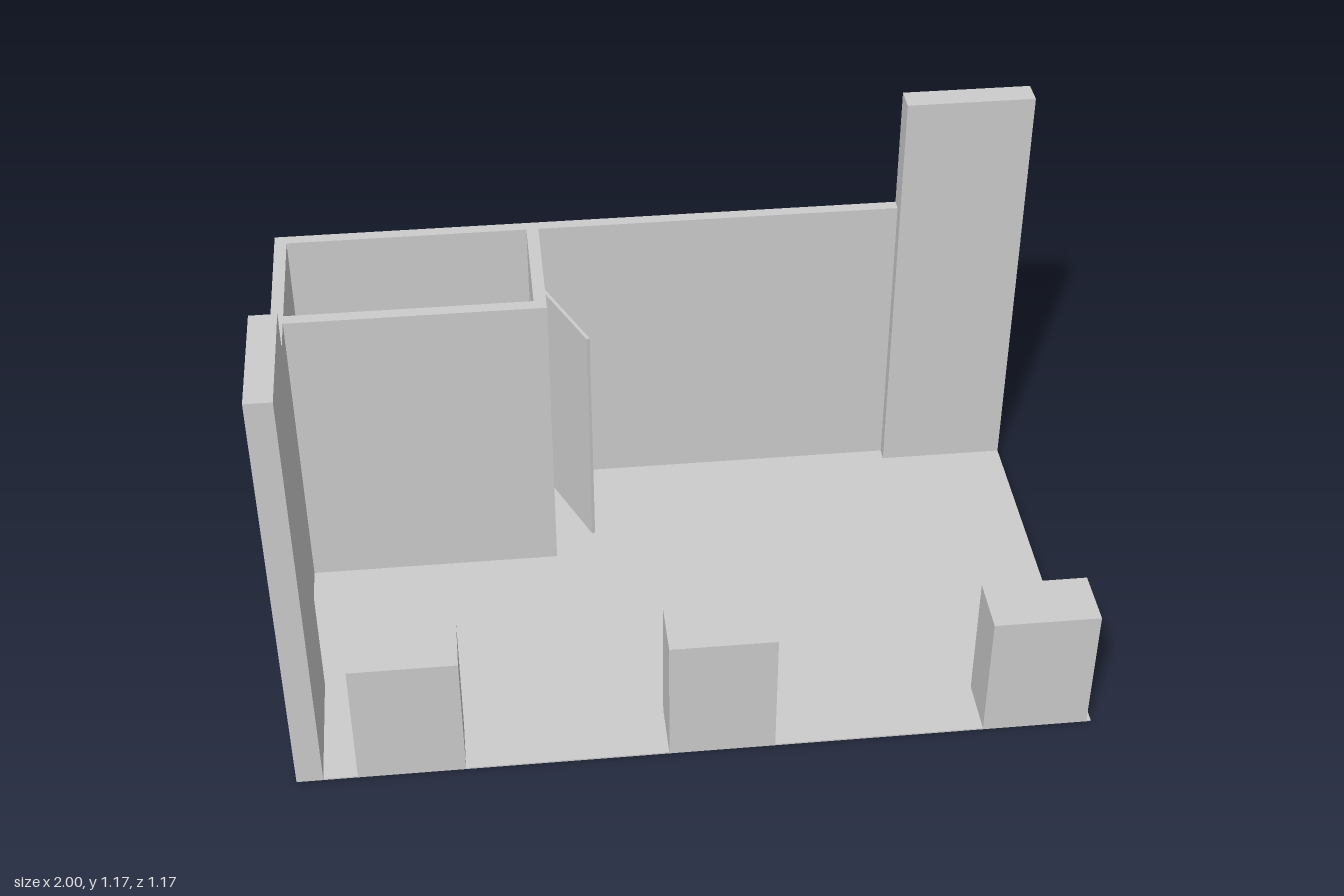
import * as THREE from 'three';

const material = new THREE.MeshStandardMaterial({ color: 0xcccccc, flatShading: true });

// Box given by its min and max corners
function block(parent, name, x0, x1, y0, y1, z0, z1) {
  const mesh = new THREE.Mesh(new THREE.BoxGeometry(x1 - x0, y1 - y0, z1 - z0), material);
  mesh.position.set((x0 + x1) / 2, (y0 + y1) / 2, (z0 + z1) / 2);
  mesh.name = name;
  parent.add(mesh);
  return mesh;
}

// Framed wall along local x: thin inner sheet, rails and studs facing -z outside
function framedWall(name, length, height, bays) {
  const wall = new THREE.Group();
  wall.name = name;
  const depth = 0.032, sheet = 0.01, t = 0.014;
  block(wall, 'wallSheet', 0, length, 0, height, depth - sheet, depth);
  block(wall, 'bottomRail', 0, length, 0, t, 0, depth - sheet);
  block(wall, 'topRail', 0, length, height - t, height, 0, depth - sheet);
  for (let i = 0; i <= bays; i++) {
    const x = (length - t) * i / bays;
    block(wall, 'stud', x, x + t, t, height - t, 0, depth - sheet);
  }
  return wall;
}

export function createModel() {
  const model = new THREE.Group();
  model.name = 'exhibitionBooth';
  const X = 1, Z = 0.585, H = 0.838, tall = 1.174, floorTop = 0.004;

  block(model, 'floor', -X, X, 0, floorTop, -Z, Z);

  // Outer walls with studs on their outer faces
  const backWall = framedWall('backWall', 1.662, H, 10);
  backWall.position.set(-X, 0, -Z);
  model.add(backWall);
  const sideWall = framedWall('sideWall', 0.837, H, 5);
  sideWall.rotation.y = Math.PI / 2;
  sideWall.position.set(-X, 0, 0.252);
  model.add(sideWall);

  // Tall end towers
  block(model, 'backTower', 0.662, X, 0, tall, -Z, -0.517);
  block(model, 'sideTower', -X, -0.934, 0, tall, 0.252, Z);

  // Storage room: front wall, and a side wall with a doorway
  const room = new THREE.Group();
  room.name = 'storageRoom';
  model.add(room);
  block(room, 'roomFrontWall', -0.968, -0.305, floorTop, H, -0.22, -0.187);
  const doorH = 0.67, hingeZ = -0.515, latchZ = -0.252;
  block(room, 'latchJamb', -0.337, -0.305, floorTop, H, latchZ, -0.22);
  block(room, 'hingeJamb', -0.337, -0.305, floorTop, H, -0.553, hingeZ);
  block(room, 'lintel', -0.337, -0.305, doorH, H, hingeZ, latchZ);

  // Door standing ajar, swung about its hinge
  const door = new THREE.Group();
  door.name = 'door';
  block(door, 'doorLeaf', 0, 0.009, floorTop, doorH, 0, 0.262);
  door.position.set(-0.306, 0, -0.513);
  door.rotation.y = 0.41;
  room.add(door);

  // Counters along the open front
  for (const x of [-0.849, -0.075, 0.722])
    block(model, 'counter', x, x + 0.267, 0, 0.355, 0.435, Z);

  return model;
}
